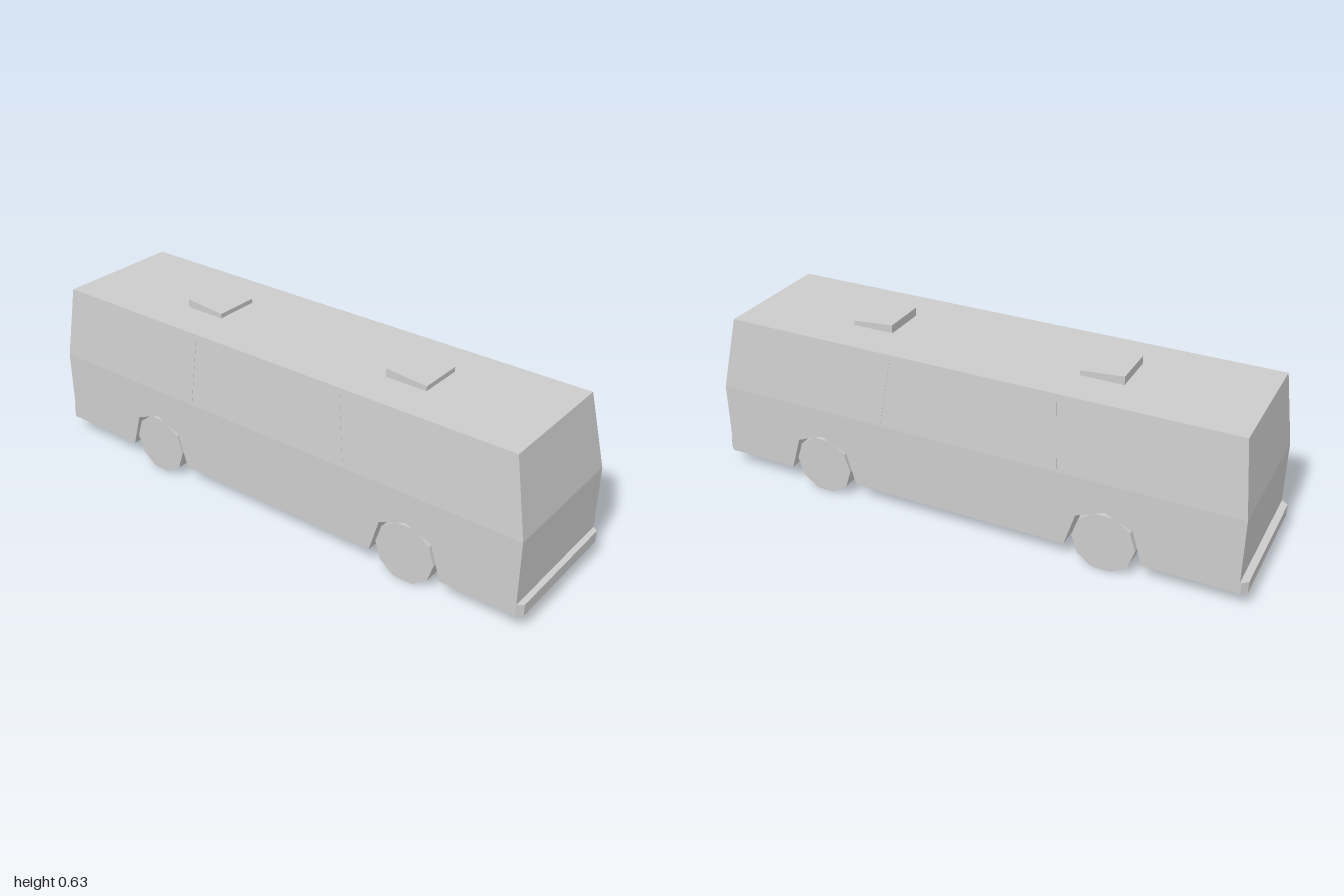
import * as THREE from 'three';

const HALF = 0.258, FLOOR = 0.062, BELT = 0.335, ROOF = 0.605;
const AXLES = [0.571, -0.515];
const material = new THREE.MeshStandardMaterial({ color: 0xcccccc, flatShading: true });

// Extrude a side profile of [z, y] points across the width, from x0 to x1
function profile(points, x0, x1) {
  const shape = new THREE.Shape(points.map(([z, y]) => new THREE.Vector2(-z, y)));
  const geometry = new THREE.ExtrudeGeometry(shape, { depth: x1 - x0, bevelEnabled: false });
  return geometry.rotateY(Math.PI / 2).translate(x0, 0, 0);
}

// Lean the sides inwards above the belt line
function taper(geometry) {
  const p = geometry.attributes.position;
  for (let i = 0; i < p.count; i++) {
    const t = Math.max(0, (p.getY(i) - BELT) / (ROOF - BELT));
    p.setX(i, p.getX(i) * (1 - 0.097 * t));
  }
  geometry.computeVertexNormals();
  return geometry;
}

export function createModel() {
  const bus = new THREE.Group();
  bus.name = 'bus';
  const add = (name, geometry) => {
    const mesh = new THREE.Mesh(geometry, material);
    mesh.name = name;
    bus.add(mesh);
    return mesh;
  };

  // Upper body with raked ends and leaning sides
  add('upperBody', taper(profile(
    [[0.98, BELT], [0.925, ROOF], [-0.942, ROOF], [-0.975, BELT]], -HALF, HALF)));

  // Lower body: plain core, and outer flanks cut out by the wheel arches
  const inner = 0.165;
  const front = 0.98, back = -0.975;
  add('lowerCore', profile(
    [[front, FLOOR], [front, BELT], [back, BELT], [back, FLOOR]], -inner, inner));
  const arch = [[-0.136, FLOOR], [-0.1, 0.187], [0, 0.227], [0.1, 0.187], [0.138, FLOOR]];
  const flank = [[front, BELT], [back, BELT], [back, FLOOR]];
  for (const axle of [...AXLES].reverse()) {
    for (const [dz, y] of arch) flank.push([axle + dz, y]);
  }
  flank.push([front, FLOOR]);
  add('leftFlank', profile(flank, inner, HALF));
  add('rightFlank', profile(flank, -HALF, -inner));

  // Thin panel seams between the side windows
  for (const [low, high] of [[0.32, 0.285], [-0.34, -0.325]]) {
    const w = 0.003;
    add('panelSeam', taper(profile(
      [[low - w, 0.345], [low + w, 0.345], [high + w, 0.595], [high - w, 0.595]],
      -HALF - 0.001, HALF + 0.001)));
  }

  // Bumpers with chamfered corners
  for (const s of [1, -1]) {
    const plan = new THREE.Shape([
      [-HALF, 0.96], [HALF, 0.96], [HALF, 0.98], [0.24, 1], [-0.24, 1], [-HALF, 0.98],
    ].map(([x, z]) => new THREE.Vector2(x, -z)));
    const geometry = new THREE.ExtrudeGeometry(plan, { depth: 0.043, bevelEnabled: false });
    geometry.rotateX(-Math.PI / 2).translate(0, FLOOR - 0.001, 0);
    if (s < 0) geometry.rotateY(Math.PI);
    add(s > 0 ? 'frontBumper' : 'rearBumper', geometry);
  }

  // Wedge-shaped roof hatches, each rising towards the rear
  for (const z of [0.438, -0.419]) {
    add('roofHatch', profile(
      [[z + 0.077, ROOF - 0.002], [z + 0.077, 0.622], [z - 0.077, 0.635], [z - 0.077, ROOF - 0.002]],
      -0.083, 0.083));
  }

  // Ten-sided wheels
  for (const z of AXLES) {
    for (const s of [1, -1]) {
      const wheel = add('wheel', new THREE.CylinderGeometry(0.112, 0.112, 0.072, 10).rotateZ(Math.PI / 2));
      wheel.position.set(s * 0.22, 0.107, z);
    }
  }

  // Exhaust under the rear left
  add('exhaust', profile(
    [[-0.8, 0.064], [-0.985, 0.064], [-0.985, 0.022], [-0.895, 0.028]], 0.123, 0.158));

  return bus;
}
